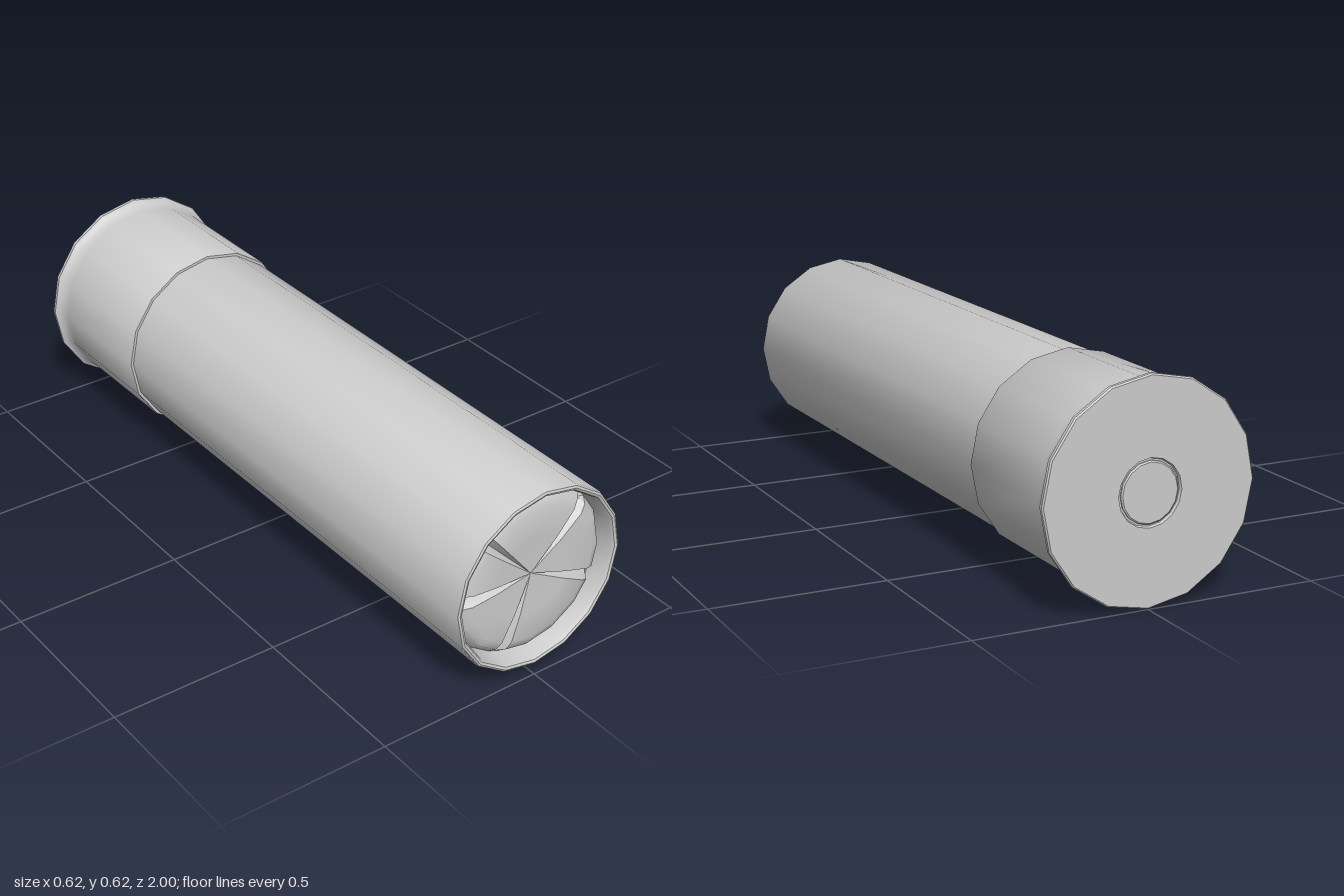
import * as THREE from 'three';
import { toCreasedNormals } from 'three/addons/utils/BufferGeometryUtils.js';

const SIDES = 16;
const CENTRE_Y = 0.308;
const material = new THREE.MeshStandardMaterial({ color: 0xcccccc, side: THREE.DoubleSide });

function addPart(group, name, geometry) {
  const mesh = new THREE.Mesh(toCreasedNormals(geometry, 0.6), material);
  mesh.name = name;
  mesh.position.y = CENTRE_Y;
  group.add(mesh);
}

// Turns a [radius, z] profile about the z axis
function turned(profile) {
  const points = profile.map(([r, z]) => new THREE.Vector2(r, z));
  return new THREE.LatheGeometry(points, SIDES).rotateX(Math.PI / 2);
}

// Domed petals separated by V-shaped folds that meet in the middle
function crimpGeometry() {
  const folds = [2, 6, 8, 11, 15, 18]; // in sixteenths of a turn
  const half = 0.22; // half width of a fold
  const rings = [
    { r: 0, petal: 0.96, fold: 0.96 },
    { r: 0.12, petal: 0.97, fold: 0.952 },
    { r: 0.205, petal: 0.97, fold: 0.942 },
    { r: 0.232, petal: 0.96, fold: 0.938 },
    { r: 0.249, petal: 0.938, fold: 0.932 },
  ];
  const columns = [];
  for (let f = 0; f < 5; f++) {
    const a = folds[f], b = folds[f + 1];
    columns.push([a, true], [a + half, false]);
    for (let i = a + 1; i < b; i++) columns.push([i, false]);
    columns.push([b - half, false]);
  }
  columns.push([18, true]);

  const step = (Math.PI * 2) / SIDES;
  const positions = [], index = [];
  for (const [i, isFold] of columns) {
    // keep in-between columns on the straight side of the polygon
    const off = i - Math.floor(i) - 0.5;
    const k = Math.cos(step / 2) / Math.cos(off * step);
    for (const ring of rings) {
      positions.push(Math.cos(i * step) * ring.r * k, Math.sin(i * step) * ring.r * k,
        isFold ? ring.fold : ring.petal);
    }
  }
  const n = rings.length;
  for (let c = 0; c < columns.length - 1; c++) {
    for (let j = 0; j < n - 1; j++) {
      const p = c * n + j, q = p + n;
      index.push(p + 1, q + 1, q);
      if (j > 0) index.push(p, p + 1, q);
    }
  }
  const geometry = new THREE.BufferGeometry();
  geometry.setAttribute('position', new THREE.Float32BufferAttribute(positions, 3));
  geometry.setIndex(index);
  return geometry;
}

export function createModel() {
  const group = new THREE.Group();
  group.name = 'cartridge';

  // Long tube with a rounded, rolled-in mouth
  addPart(group, 'tube', turned([
    [0.277, -0.57], [0.277, 0.99], [0.274, 0.997], [0.268, 1], [0.261, 0.997],
    [0.256, 0.988], [0.248, 0.93],
  ]));

  // Folded closure inside the mouth
  addPart(group, 'crimp', crimpGeometry());

  // Base cup with flared rim and a groove around the primer
  addPart(group, 'base', turned([
    [0.083, -0.992], [0.089, -0.992], [0.092, -1], [0.304, -1], [0.308, -0.996], [0.308, -0.986],
    [0.297, -0.978], [0.289, -0.962], [0.287, -0.94], [0.287, -0.566], [0.285, -0.562], [0.275, -0.562],
  ]));

  // Primer disc in the base
  addPart(group, 'primer', turned([[0, -0.999], [0.08, -0.999], [0.084, -0.996], [0.084, -0.99]]));

  return group;
}
